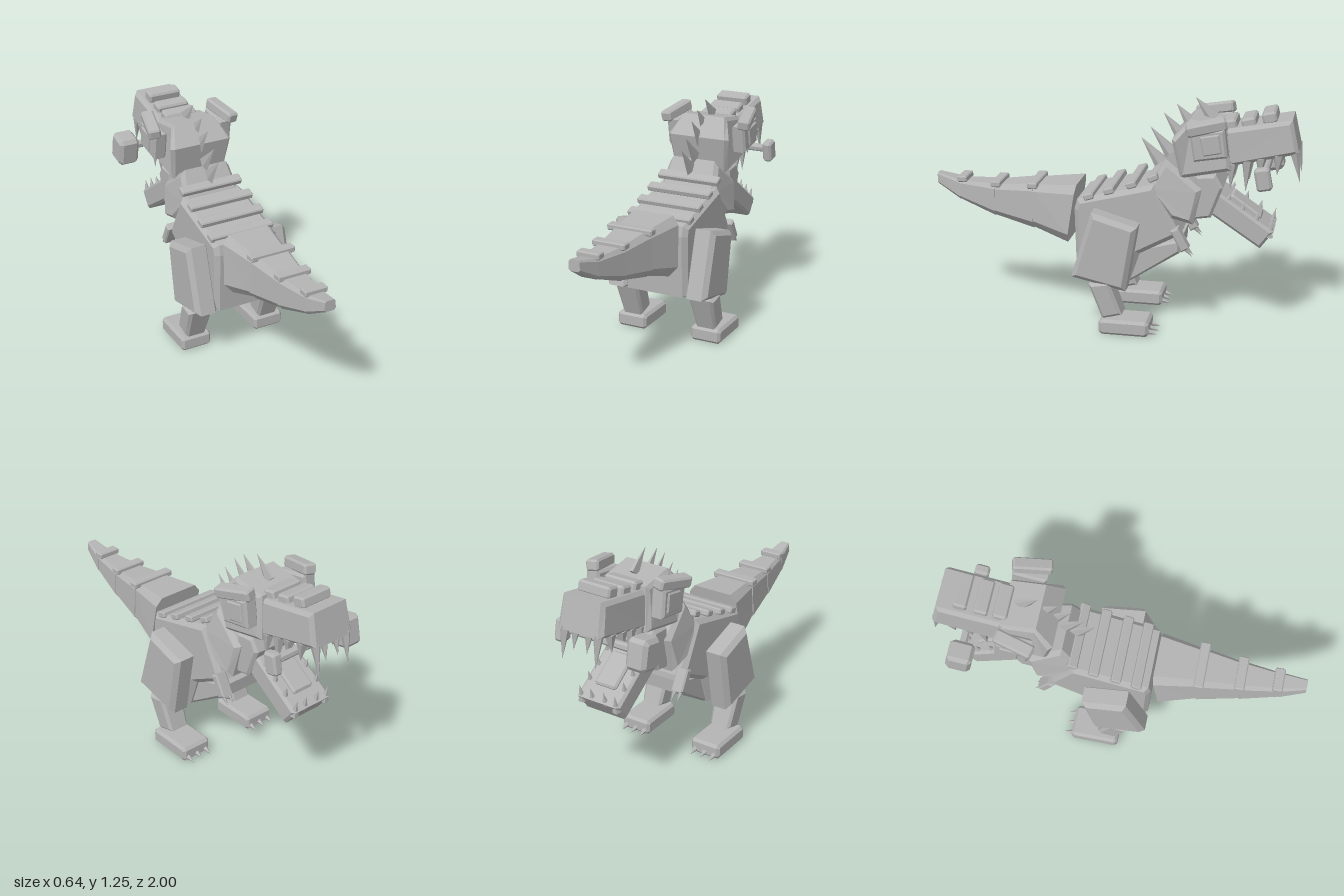
import * as THREE from 'three';

const grey = new THREE.MeshStandardMaterial({ color: 0xb4b4b4 });
grey.name = 'stone grey';

export function createModel() {
  const model = new THREE.Group();
  model.name = 'blockyDinosaur';

  const add = (name, geometry) => {
    const mesh = new THREE.Mesh(geometry, grey);
    mesh.name = name;
    model.add(mesh);
    return mesh;
  };

  // Side profile of [z, y] points extruded across x, with bevelled sides.
  function slabGeometry(points, width, c, taper = null) {
    const g = new THREE.ExtrudeGeometry(new THREE.Shape(points.map((p) => new THREE.Vector2(...p))), {
      depth: width - 2 * c, bevelEnabled: true, bevelSegments: 1,
      bevelSize: c, bevelThickness: c, bevelOffset: -c,
    });
    g.translate(0, 0, -(width - 2 * c) / 2);
    g.rotateY(-Math.PI / 2);
    if (taper) {
      const pos = g.attributes.position;
      for (let i = 0; i < pos.count; i++) pos.setX(i, pos.getX(i) * taper(pos.getY(i)));
      g.computeVertexNormals();
    }
    return g;
  }

  function slab(name, points, width, c, x = 0, taper = null) {
    const mesh = add(name, slabGeometry(points, width, c, taper));
    mesh.position.x = x;
    return mesh;
  }

  // Box with every edge chamfered
  function block(name, [w, h, d], [x, y, z], tilt = 0, c = 0.01) {
    const a = d / 2, b = h / 2;
    const mesh = add(name, slabGeometry([
      [c - a, -b], [a - c, -b], [a, c - b], [a, b - c], [a - c, b], [c - a, b], [-a, b - c], [-a, c - b],
    ], w, c));
    mesh.position.set(x, y, z);
    mesh.rotation.x = tilt;
    return mesh;
  }

  // Faceted cone from a base point to a tip; flat squeezes it across x.
  function spike(name, base, tip, r, flat = 1) {
    const a = new THREE.Vector3(...base);
    const dir = new THREE.Vector3(...tip).sub(a);
    const len = dir.length();
    const g = new THREE.ConeGeometry(r, len, 5).toNonIndexed();
    g.translate(0, len / 2, 0);
    g.scale(flat, 1, 1);
    g.applyQuaternion(new THREE.Quaternion().setFromUnitVectors(new THREE.Vector3(0, 1, 0), dir.normalize()));
    g.translate(a.x, a.y, a.z);
    g.computeVertexNormals();
    add(name, g);
  }

  // Torso, belly, neck and throat
  slab('torso', [[0.19, 0.66], [0.18, 0.315], [-0.11, 0.265], [-0.165, 0.43], [-0.385, 0.55], [-0.24, 0.82], [0.175, 0.715]],
    0.38, 0.025);
  slab('belly', [[-0.08, 0.44], [-0.10, 0.255], [-0.38, 0.44], [-0.385, 0.515], [-0.17, 0.46]], 0.31, 0.015);
  slab('neck', [[-0.20, 0.79], [-0.295, 0.95], [-0.49, 0.80], [-0.45, 0.61], [-0.33, 0.64]],
    0.38, 0.025, 0, (y) => 1 - 0.9 * Math.max(0, y - 0.68));
  slab('throat', [[-0.45, 0.87], [-0.45, 0.63], [-0.54, 0.645], [-0.60, 0.81], [-0.56, 0.88]], 0.29, 0.015);

  // Tail: tapered octagonal segments. Stations: z, bottom, top, half width, lean
  const stations = [
    [0.215, 0.45, 0.775, 0.165, 0.15], [0.435, 0.51, 0.76, 0.125, 0], [0.66, 0.56, 0.74, 0.09, 0],
    [0.865, 0.635, 0.745, 0.06, 0], [1.0, 0.715, 0.775, 0.032, 0],
  ];
  const ring = ([z, lo, hi, w, lean], s) => {
    const m = (lo + hi) / 2, h = (hi - lo) / 2 * s;
    return [[0.7, -1], [1, -0.65], [0.92, 0.72], [0.7, 1], [-0.7, 1], [-0.92, 0.72], [-1, -0.65], [-0.7, -1]]
      .map(([x, y]) => [x * w * s, m + y * h, z - lean * y * h]);
  };
  for (let i = 0; i < 4; i++) {
    const a = ring(stations[i], 1), b = ring(stations[i + 1], i < 3 ? 0.96 : 1);
    const v = [];
    for (let k = 0; k < 8; k++) {
      const n = (k + 1) % 8;
      v.push(a[k], a[n], b[n], a[k], b[n], b[k]);
      if (k > 0 && k < 7) v.push(b[0], b[k], b[n], a[0], a[n], a[k]);
    }
    const g = new THREE.BufferGeometry();
    g.setAttribute('position', new THREE.Float32BufferAttribute(v.flat(), 3));
    g.computeVertexNormals();
    add('tailSegment' + (i + 1), g);
  }

  // Cross bars along the spine: z, y, width, tilt
  [[0.85, 0.755, 0.13, 0], [0.65, 0.745, 0.19, 0], [0.435, 0.758, 0.26, 0], [0.11, 0.735, 0.38, 0.3],
    [0, 0.772, 0.38, 0.3], [-0.12, 0.812, 0.38, 0.3], [-0.235, 0.855, 0.37, 0.45]]
    .forEach(([z, y, w, t]) => block('spineBar', [w, 0.034, 0.055], [0, y, z], t, 0.006));

  // Head and snout
  slab('cranium', [[-0.33, 1.065], [-0.375, 0.855], [-0.64, 0.91], [-0.61, 1.14], [-0.42, 1.17]],
    0.37, 0.02, 0, (y) => (y > 1.1 ? 0.75 : y < 0.93 ? 0.88 : 1));
  slab('snout', [[-0.60, 1.12], [-0.60, 0.92], [-0.985, 1.01], [-0.945, 1.185]],
    0.27, 0.02, 0, (y) => (y > 1.08 ? 0.93 : 1));
  [[-0.62, 1.135], [-0.72, 1.15], [-0.825, 1.185]].forEach(([z, y]) =>
    block('snoutRidge', [0.19, 0.06, 0.075], [0, y, z], 0.23, 0.01));

  // Lower jaw with tongue
  slab('lowerJaw', [[-0.57, 0.785], [-0.535, 0.66], [-0.80, 0.485], [-0.87, 0.58]], 0.26, 0.015);
  block('tongue', [0.13, 0.03, 0.2], [0, 0.69, -0.715], -0.61);

  // Crest spikes down the back of the head
  [[-0.25, 0.90, -0.14, 1.03], [-0.31, 0.95, -0.19, 1.09], [-0.37, 1.04, -0.26, 1.17],
    [-0.42, 1.11, -0.33, 1.22], [-0.53, 1.15, -0.43, 1.26]]
    .forEach(([z, y, tz, ty]) => spike('crestSpike', [0, y, z], [0, ty, tz], 0.045, 0.4));

  for (const s of [1, -1]) {
    // Eyes and brows
    slab('eyeSocket', [[-0.43, 1.12], [-0.455, 0.97], [-0.63, 1.0], [-0.61, 1.15]], 0.08, 0.012, s * 0.2);
    slab('eye', [[-0.485, 1.105], [-0.505, 1.005], [-0.6, 1.025], [-0.585, 1.125]], 0.018, 0.006, s * 0.24);
    const brow = block('brow', [0.07, 0.06, 0.21], [s * 0.22, 1.155, -0.515], 0.2);
    brow.rotation.order = 'YXZ';
    brow.rotation.y = s * 0.22;
    brow.rotation.z = -s * 0.1;

    // Upper and lower teeth
    [[-0.64, 0.94, 0.8], [-0.72, 0.96, 0.79], [-0.79, 0.975, 0.87], [-0.88, 0.995, 0.89]]
      .forEach(([z, y, ty]) => spike('upperTooth', [s * 0.105, y, z], [s * 0.11, ty, z + 0.005], 0.032));
    spike('fang', [s * 0.1, 1.02, -0.96], [s * 0.1, 0.85, -0.995], 0.028);
    for (let i = 0; i < 4; i++) {
      const z = -0.62 - i * 0.075, y = 0.73 - i * 0.057;
      spike('lowerTooth', [s * 0.105, y - 0.01, z], [s * 0.108, y + 0.05 + i * 0.012, z - 0.02], 0.024);
    }

    // Arm with claws
    slab('arm', [[-0.335, 0.58], [-0.375, 0.6], [-0.435, 0.49], [-0.395, 0.465]], 0.07, 0.008, s * 0.18);
    for (const d of [-0.018, 0.018]) spike('armClaw', [s * 0.18 + d, 0.49, -0.41], [s * 0.18 + d, 0.44, -0.455], 0.014);

    // Leg, foot and toe claws
    slab('thigh', [[0.075, 0.68], [0.185, 0.315], [-0.11, 0.25], [-0.17, 0.61]], 0.135, 0.025, s * 0.237);
    slab('shin', [[0.09, 0.28], [0.016, 0.085], [-0.09, 0.115], [-0.02, 0.3]], 0.125, 0.015, s * 0.228,
      (y) => (y > 0.2 ? 1.15 : 1));
    block('foot', [0.18, 0.085, 0.27], [s * 0.23, 0.05, -0.105], 0, 0.015);
    for (const d of [-0.06, 0, 0.06]) spike('toeClaw', [s * 0.23 + d, 0.035, -0.23], [s * 0.23 + d, 0.02, -0.285], 0.018);

    // Teeth at the front of the mouth
    spike('frontTooth', [s * 0.04, 1.01, -0.955], [s * 0.04, 0.91, -0.98], 0.024);
    spike('lowerFrontTooth', [s * 0.04, 0.57, -0.845], [s * 0.04, 0.645, -0.865], 0.02);
  }

  // Mallet held crosswise in the mouth
  block('malletHandle', [0.44, 0.04, 0.04], [0, 0.91, -0.815], 0.2);
  block('malletHead', [0.12, 0.165, 0.135], [-0.25, 0.905, -0.815], 0.2, 0.02);
  block('malletPommel', [0.055, 0.12, 0.08], [0.235, 0.9, -0.815], 0.2, 0.012);

  return model;
}
